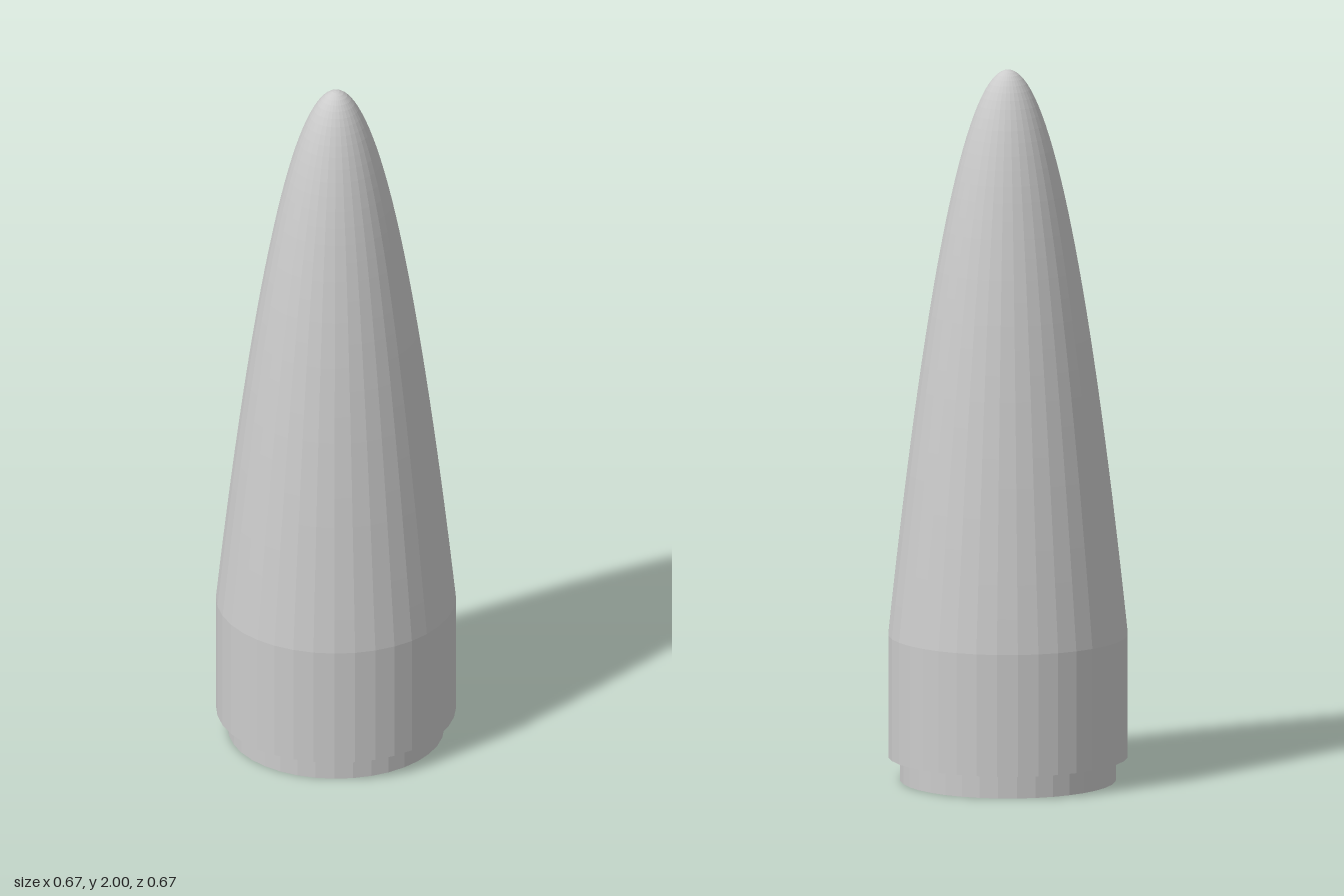
import * as THREE from 'three';

const SIDES = 36;

export function createModel() {
  const group = new THREE.Group();
  group.name = 'ogiveNose';
  const material = new THREE.MeshStandardMaterial({ color: 0xcccccc, flatShading: true });

  const addLathe = (name, points) => {
    const profile = points.map(([r, y]) => new THREE.Vector2(r, y));
    const mesh = new THREE.Mesh(new THREE.LatheGeometry(profile, SIDES), material);
    mesh.name = name;
    group.add(mesh);
  };

  const radius = 0.333, baseRadius = 0.3;
  const step = 0.067, shoulder = 0.41, top = 2;

  // Recessed base plug with a closed bottom
  addLathe('basePlug', [[0, 0], [baseRadius, 0], [baseRadius, step]]);

  // Straight collar with the stepped underside
  addLathe('collar', [[baseRadius, step], [radius, step], [radius, shoulder]]);

  // Parabolic nose rising to a rounded tip
  const rings = 32;
  const nose = [];
  for (let i = 0; i <= rings; i++) {
    const t = 1 - i / rings;
    nose.push([radius * t, top - (top - shoulder) * t * t]);
  }
  addLathe('nose', nose);

  return group;
}
